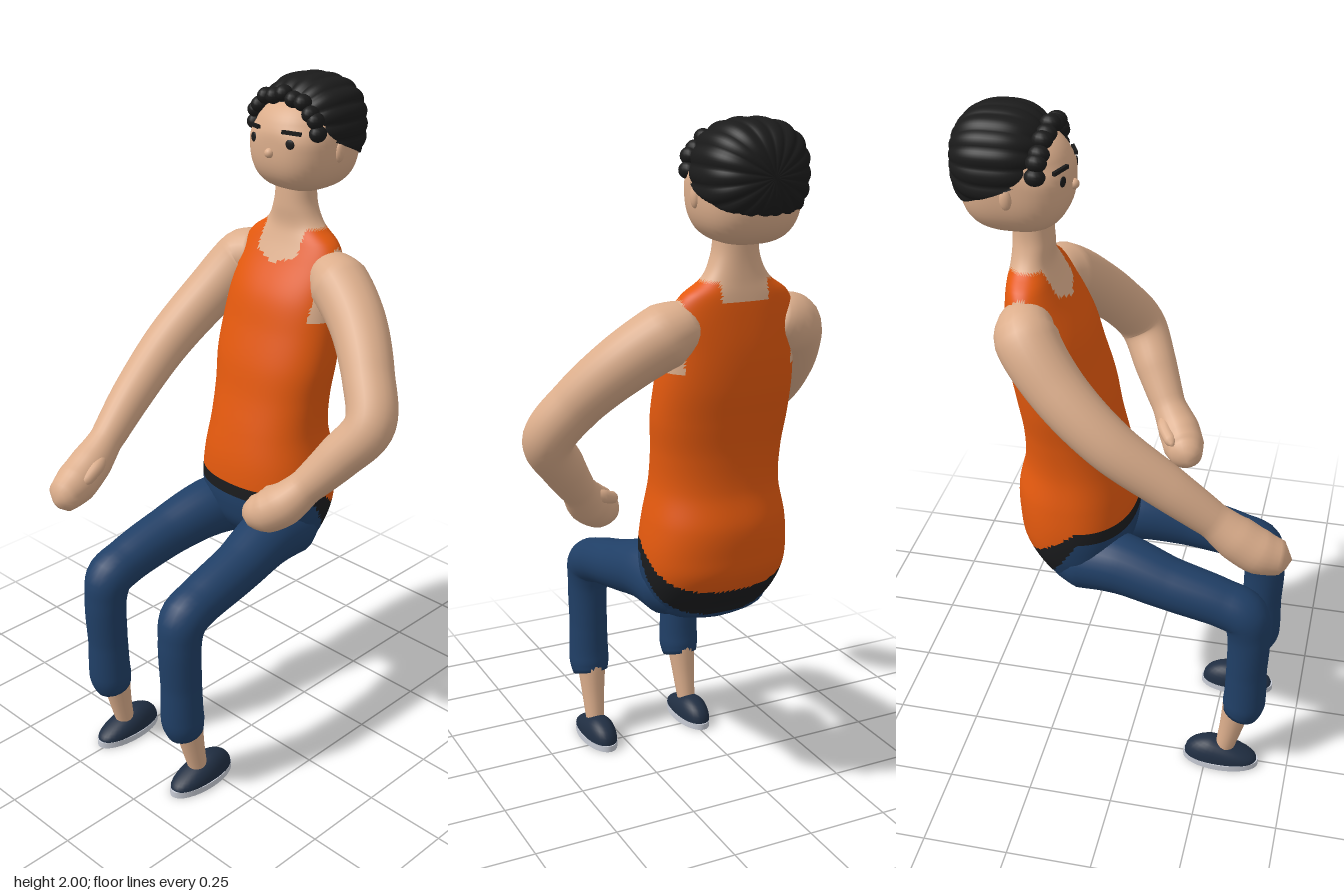
import * as THREE from 'three';
import { mergeVertices } from 'three/addons/utils/BufferGeometryUtils.js';

const paint = (name, hex) => {
  const m = new THREE.MeshStandardMaterial({ color: hex });
  m.name = name;
  return m;
};

// Weld a geometry and give it smooth normals
function smooth(geo) {
  geo.deleteAttribute('uv');
  geo.deleteAttribute('normal');
  const g = mergeVertices(geo, 1e-5);
  g.computeVertexNormals();
  return g;
}

// Apply a rule to every vertex
function reshape(geo, rule) {
  const p = geo.attributes.position, v = new THREE.Vector3();
  for (let i = 0; i < p.count; i++) {
    v.fromBufferAttribute(p, i);
    rule(v, i);
    p.setXYZ(i, v.x, v.y, v.z);
  }
  return smooth(geo);
}

// Tube of varying radius through points [x, y, z, radius]
function limb(points, rings = 40, sides = 20) {
  const curve = new THREE.CatmullRomCurve3(points.map(p => new THREE.Vector3(p[0], p[1], p[2])), false, 'centripetal');
  const radius = u => {
    const f = curve.getUtoTmapping(u) * (points.length - 1);
    const i = Math.min(Math.floor(f), points.length - 2);
    return THREE.MathUtils.lerp(points[i][3], points[i + 1][3], f - i);
  };
  const geo = new THREE.TubeGeometry(curve, rings, 1, sides);
  return reshape(geo, (v, i) => {
    const u = Math.floor(i / (sides + 1)) / rings, c = curve.getPointAt(u);
    v.sub(c).multiplyScalar(radius(u)).add(c);
  });
}

// Rounded-box-like ball: push a unit direction out to a superellipsoid of power p
function puff(v, p) {
  const n = Math.abs(v.x) ** p + Math.abs(v.y) ** p + Math.abs(v.z) ** p;
  return v.multiplyScalar(n ** (-1 / p));
}

// Torso and neck: [height, half width, front z, back z]
const RINGS = [
  [0.595, 0.03, -0.17, -0.21], [0.61, 0.12, -0.12, -0.235], [0.65, 0.175, -0.06, -0.262],
  [0.7, 0.2, -0.02, -0.3], [0.76, 0.212, -0.003, -0.33], [0.82, 0.214, 0, -0.338],
  [0.9, 0.205, -0.005, -0.34], [1.0, 0.187, -0.025, -0.318], [1.1, 0.188, -0.05, -0.317],
  [1.2, 0.198, -0.07, -0.33], [1.3, 0.198, -0.1, -0.345], [1.4, 0.19, -0.13, -0.35],
  [1.5, 0.178, -0.185, -0.345], [1.55, 0.15, -0.21, -0.34], [1.585, 0.1, -0.222, -0.335],
  [1.64, 0.068, -0.222, -0.33], [1.72, 0.058, -0.225, -0.33],
];

// Which material (0 skin, 1 top, 2 waistband, 3 trousers) covers a spot on the torso
function torsoColour(x, y, z) {
  const ax = Math.abs(x), back = Math.max(0, -0.135 - z);
  if (y > 1.583) return 0;
  if (z > -0.28 ? ax < 0.076 && y > 1.485 + 0.35 * ax : ax < 0.07 && y > 1.53) return 0;
  if (ax > 0.16 && y > 1.345) return 0;
  if (y > 0.84 - 0.75 * back) return 1;
  return y > 0.8 - 1.6 * back ? 2 : 3;
}

function torsoGeometry(rows = 120, cols = 96) {
  const profile = new THREE.CubicInterpolant(RINGS.map(r => r[0]), RINGS.flatMap(r => r.slice(1)), 3);
  const pos = [], sets = [[], [], [], []];
  const bend = s => Math.sign(s) * Math.abs(s) ** (2 / 2.25);
  for (let j = 0; j <= rows; j++) {
    const y = THREE.MathUtils.lerp(0.595, 1.72, j / rows);
    const [hw, zf, zb] = profile.evaluate(y);
    for (let i = 0; i < cols; i++) {
      const a = i / cols * Math.PI * 2;
      pos.push(hw * bend(Math.sin(a)), y, (zf + zb) / 2 + (zf - zb) / 2 * bend(Math.cos(a)));
    }
  }
  const put = (...t) => {
    const mid = k => (pos[t[0] * 3 + k] + pos[t[1] * 3 + k] + pos[t[2] * 3 + k]) / 3;
    sets[torsoColour(mid(0), mid(1), mid(2))].push(...t);
  };
  for (let j = 0; j < rows; j++) for (let i = 0; i < cols; i++) {
    const n = (i + 1) % cols, a = j * cols + i, b = j * cols + n, c = b + cols, d = a + cols;
    put(a, b, c);
    put(a, c, d);
  }
  const geo = new THREE.BufferGeometry();
  geo.setAttribute('position', new THREE.Float32BufferAttribute(pos, 3));
  geo.setIndex(sets.flat());
  let start = 0;
  sets.forEach((s, k) => { geo.addGroup(start, s.length, k); start += s.length; });
  geo.computeVertexNormals();
  return geo;
}

export function createModel() {
  const skin = paint('skin', 0xdcae8c), orange = paint('orange top', 0xe4590e);
  const band = paint('waistband', 0x1b1c1e), denim = paint('blue trousers', 0x203f66);
  const black = paint('black hair', 0x1b1b1b), navy = paint('navy shoe', 0x202e42);
  const pale = paint('pale sole', 0xc8ccd6);

  const root = new THREE.Group(), body = new THREE.Group();
  root.name = 'seatedFigure';
  body.name = 'body';
  body.position.x = -0.093;
  root.add(body);
  const add = (parent, name, geo, mat, x = 0, y = 0, z = 0) => {
    const m = new THREE.Mesh(geo, mat);
    m.name = name;
    m.position.set(x, y, z);
    parent.add(m);
    return m;
  };

  add(body, 'torso', torsoGeometry(), [skin, orange, band, denim]);

  // Head: square jaw, rounder crown
  const head = reshape(new THREE.SphereGeometry(1, 48, 36), v => {
    puff(v, v.y < 0 ? 2.8 : 2.8 - 0.6 * Math.min(1, v.y * 3));
    v.set(v.x * 0.136, v.y * (v.y > 0 ? 0.122 : 0.15), v.z * 0.146);
  });
  add(body, 'head', head, skin, 0, 1.83, -0.31);
  add(body, 'nose', new THREE.SphereGeometry(0.014, 16, 12), skin, 0, 1.803, -0.164);

  // Hair: ridged cap swept from front to back, cut along a sloping line
  const hair = reshape(new THREE.SphereGeometry(1, 144, 40).rotateX(Math.PI / 2), v => {
    const around = Math.atan2(v.y, v.x), side = Math.hypot(v.x, v.y);
    const ridge = 0.97 + 0.045 * Math.abs(Math.cos(9 * around)) * side;
    puff(v, 2.5).multiplyScalar(ridge);
    v.set(v.x * 0.147, 1.86 + v.y * 0.138, -0.345 + v.z * 0.135);
    v.y = Math.max(v.y, 1.865 + (v.z + 0.21) * 0.41);
  });
  add(body, 'hair', hair, black);
  for (let i = 0; i <= 10; i++) {
    const a = i / 10 * Math.PI;
    const curl = add(body, 'fringeCurl', new THREE.SphereGeometry(0.023, 14, 10), black,
      0.118 * Math.cos(a), 1.863 + 0.088 * Math.sin(a) + (i % 2) * 0.008, -0.232 + 0.012 * Math.sin(a));
    curl.scale.z = 1.2;
  }

  for (const s of [-1, 1]) {
    // Face details and ears
    const eye = add(body, 'eye', new THREE.SphereGeometry(0.014, 16, 12), black, s * 0.068, 1.835, -0.174);
    eye.scale.z = 0.3;
    eye.rotation.y = s * 0.25;
    const brow = add(body, 'brow', new THREE.BoxGeometry(0.056, 0.01, 0.009), black, s * 0.069, 1.866, -0.179);
    brow.rotation.set(0, s * 0.42, -s * 0.06);
    const ear = add(body, 'ear', new THREE.SphereGeometry(0.03, 16, 12), skin, s * 0.134, 1.805, -0.305);
    ear.scale.set(0.4, 1, 0.55);

    // Trouser leg, ankle and shoe
    add(body, 'trouserLeg', limb([
      [s * 0.1, 0.69, -0.22, 0], [s * 0.105, 0.69, -0.2, 0.07], [s * 0.115, 0.692, -0.14, 0.095],
      [s * 0.13, 0.695, -0.03, 0.09], [s * 0.152, 0.662, 0.12, 0.077], [s * 0.16, 0.622, 0.28, 0.07],
      [s * 0.162, 0.594, 0.343, 0.071], [s * 0.163, 0.53, 0.361, 0.063], [s * 0.163, 0.38, 0.361, 0.06],
      [s * 0.163, 0.25, 0.358, 0.064], [s * 0.163, 0.203, 0.346, 0.052], [s * 0.163, 0.2, 0.345, 0],
    ], 70, 24), denim);
    add(body, 'ankle', limb([
      [s * 0.163, 0.24, 0.34, 0.045], [s * 0.165, 0.15, 0.325, 0.036], [s * 0.167, 0.05, 0.305, 0.028],
    ], 10, 16), skin);
    const shoe = reshape(new THREE.SphereGeometry(1, 32, 20), v => {
      puff(v, 2.3);
      const height = v.z > -0.3 ? 0.068 - 0.028 * (v.z + 0.3) : 0.068;
      v.set(v.x * 0.05, Math.max(0, v.y) * height, v.z * 0.112);
    });
    add(body, 'shoe', shoe, navy, s * 0.168, 0.018, 0.295);
    const sole = add(body, 'sole', new THREE.CylinderGeometry(1, 1, 0.02, 32), pale, s * 0.168, 0.01, 0.295);
    sole.scale.set(0.053, 1, 0.117);
  }

  // Right arm reaching forward
  add(root, 'rightArm', limb([
    [-0.2, 1.475, -0.265, 0], [-0.215, 1.47, -0.265, 0.065], [-0.275, 1.445, -0.255, 0.086],
    [-0.335, 1.34, -0.165, 0.078], [-0.372, 1.21, -0.02, 0.07], [-0.362, 1.085, 0.14, 0.061],
    [-0.345, 0.985, 0.26, 0.05], [-0.341, 0.935, 0.32, 0.061], [-0.336, 0.893, 0.385, 0.063],
    [-0.325, 0.872, 0.45, 0.046], [-0.323, 0.87, 0.475, 0],
  ], 70, 24), skin);
  add(root, 'rightThumb', limb([
    [-0.31, 0.97, 0.29, 0.01], [-0.295, 0.945, 0.335, 0.022], [-0.292, 0.915, 0.385, 0.019], [-0.294, 0.905, 0.405, 0],
  ], 14, 12), skin);

  // Left arm bent at the elbow with the hand over the lap
  add(root, 'leftArm', limb([
    [0.0, 1.475, -0.265, 0], [0.03, 1.47, -0.265, 0.065], [0.095, 1.445, -0.255, 0.088],
    [0.2, 1.372, -0.215, 0.082], [0.305, 1.26, -0.145, 0.073], [0.366, 1.15, -0.085, 0.071],
    [0.305, 1.05, -0.03, 0.064], [0.235, 0.955, 0.025, 0.051], [0.19, 0.9, 0.065, 0.063],
    [0.145, 0.87, 0.09, 0.062], [0.1, 0.862, 0.107, 0.043], [0.078, 0.86, 0.11, 0],
  ], 70, 24), skin);
  add(root, 'leftThumb', limb([
    [0.2, 0.945, 0.02, 0.012], [0.165, 0.925, 0.025, 0.022], [0.115, 0.905, 0.055, 0.019], [0.095, 0.9, 0.065, 0],
  ], 14, 12), skin);

  return root;
}
